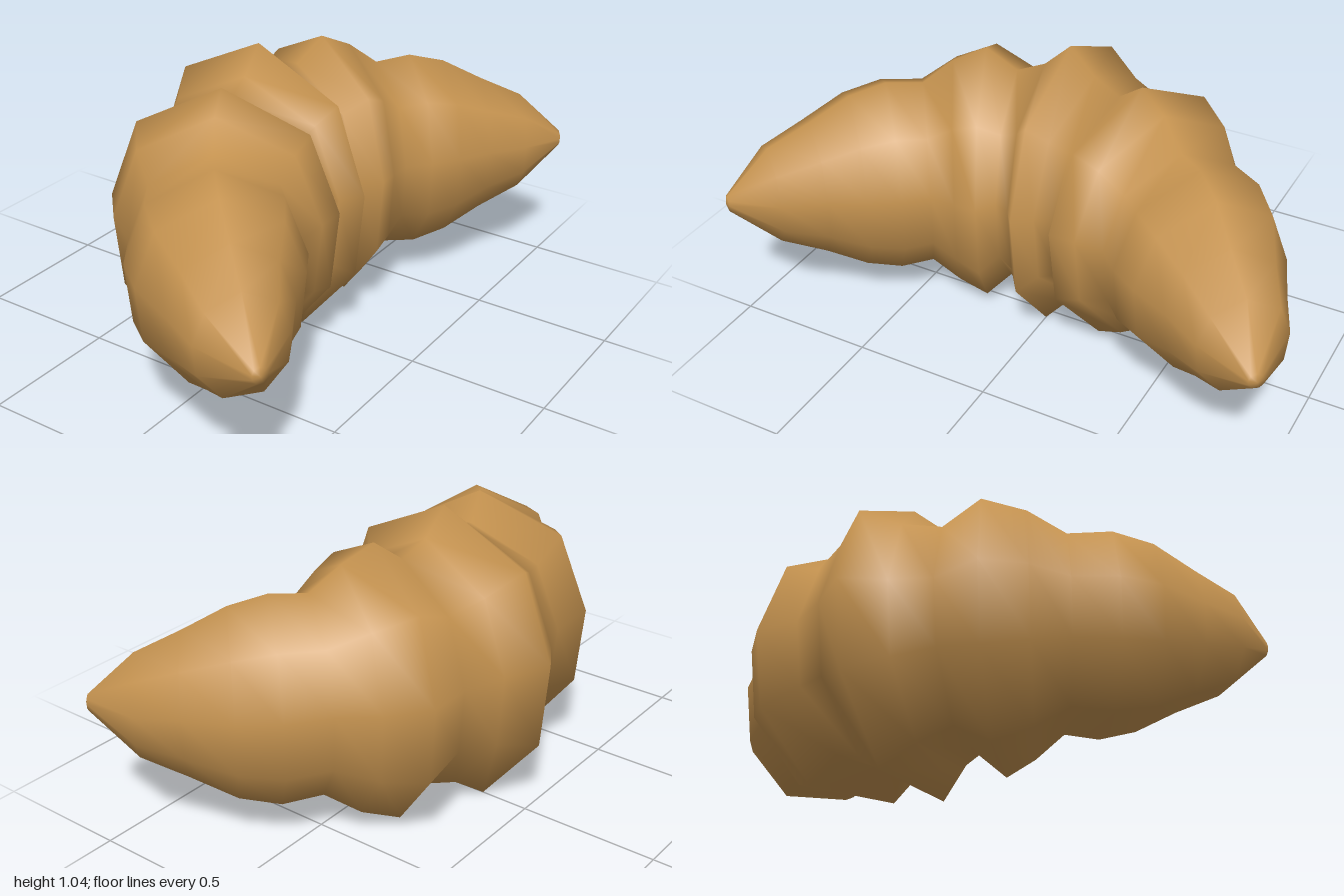
import * as THREE from 'three';

// Unit cross-section, clockwise from the crown: [towards inner curve, up]
const HALF = [[0.744, 0.71], [1, 0.142], [0.93, -0.436], [0.42, -0.94]];
const SECTION = [[0, 1], ...HALF, ...HALF.map(([u, v]) => [-u, v]).reverse()];

// Rings from the middle to one tip: outer x, outer z, inner x, inner z, half height
const RINGS = [
  [-0.575, 0, 0.29, 0, 0.536],
  [-0.49, 0.14, 0.22, 0.05, 0.447],
  [-0.43, 0.28, 0.195, 0.11, 0.405],
  [-0.44, 0.45, 0.28, 0.14, 0.486],
  [-0.33, 0.57, 0.27, 0.23, 0.433],
  [-0.2, 0.65, 0.26, 0.33, 0.35],
  [-0.11, 0.78, 0.33, 0.4, 0.363],
  [0.01, 0.87, 0.39, 0.5, 0.33],
  [0.18, 0.935, 0.44, 0.63, 0.253],
  [0.33, 1.0, 0.52, 0.77, 0.18],
  [0.54, 1.0, 0.57, 0.96, 0.028],
];
const MID_Y = 0.504;

function crescentGeometry() {
  // Mirror the rings in z so the path runs from the back tip to the front tip
  const back = RINGS.slice(1).reverse().map(([ox, oz, ix, iz, r]) => [ox, -oz, ix, -iz, r]);
  const rings = [...back, ...RINGS];
  const n = SECTION.length;
  const positions = [];
  const index = [];

  for (const [ox, oz, ix, iz, r] of rings) {
    for (const [u, v] of SECTION) {
      positions.push((ox + ix) / 2 + u * (ix - ox) / 2, MID_Y + v * r, (oz + iz) / 2 + u * (iz - oz) / 2);
    }
  }
  // Skin between neighbouring rings
  for (let j = 0; j < rings.length - 1; j++) {
    for (let i = 0; i < n; i++) {
      const a = j * n + i, b = j * n + (i + 1) % n;
      index.push(a, a + n, b, b, a + n, b + n);
    }
  }
  // Close both tips
  const last = (rings.length - 1) * n;
  const backTip = rings.length * n;
  positions.push(0.56, MID_Y, -0.985, 0.56, MID_Y, 0.985);
  for (let i = 0; i < n; i++) {
    const k = (i + 1) % n;
    index.push(backTip, i, k, backTip + 1, last + k, last + i);
  }

  const geometry = new THREE.BufferGeometry();
  geometry.setAttribute('position', new THREE.Float32BufferAttribute(positions, 3));
  geometry.setIndex(index);
  geometry.computeVertexNormals();
  return geometry;
}

export function createModel() {
  const group = new THREE.Group();
  group.name = 'croissant';
  const crust = new THREE.MeshStandardMaterial({ color: 0xc4924f });
  crust.name = 'golden crust';
  const body = new THREE.Mesh(crescentGeometry(), crust);
  body.name = 'ridgedCrescent';
  group.add(body);
  return group;
}
